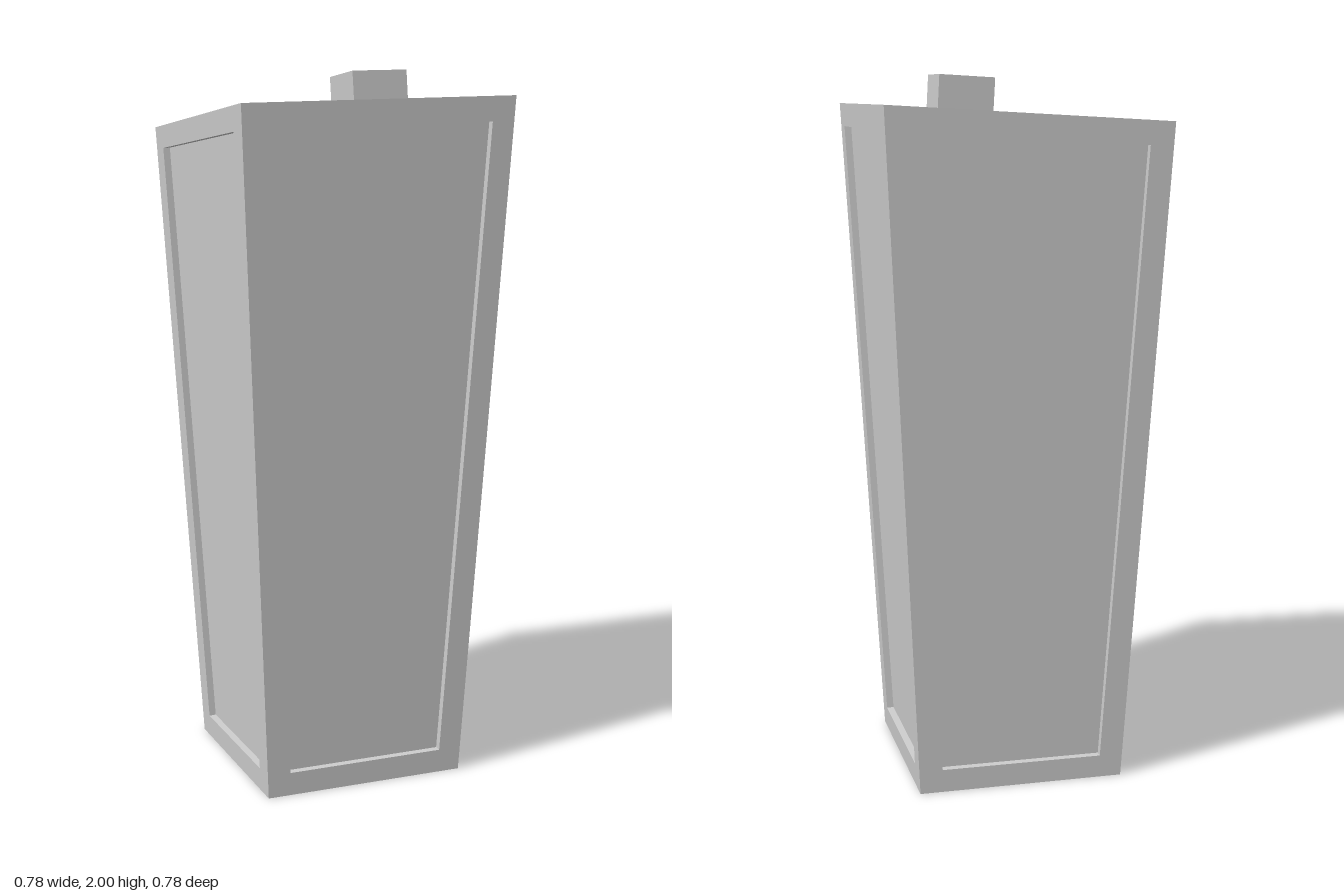
import * as THREE from 'three';

const BASE = 0.294, TOP = 0.392;   // half widths of the tapered body
const HEIGHT = 1.89, SLOPE = 0.045; // the lid rises towards +x and +z
const INSET = 0.066, DEPTH = 0.02;  // border width and recess of the side panels

const material = new THREE.MeshStandardMaterial({ color: 0xcccccc, flatShading: true });

// Mesh from quads, each given as four corners counter-clockwise from outside
function quadMesh(name, quads) {
  const points = quads.flatMap(([a, b, c, d]) => [a, b, c, a, c, d]);
  const geometry = new THREE.BufferGeometry().setFromPoints(points);
  geometry.computeVertexNormals();
  const mesh = new THREE.Mesh(geometry, material);
  mesh.name = name;
  return mesh;
}

// Four quads joining two rings of four corners
const ringQuads = (outer, inner) => outer.map((p, i) => {
  const j = (i + 1) % 4;
  return [p, outer[j], inner[j], inner[i]];
});

export function createModel() {
  const group = new THREE.Group();
  group.name = 'taperedPost';

  // Body corners: front left, front right, back right, back left as seen from the front
  const signs = [[-1, 1], [1, 1], [1, -1], [-1, -1]];
  const bottom = signs.map(([x, z]) => new THREE.Vector3(x * BASE, 0, z * BASE));
  const top = signs.map(([x, z]) =>
    new THREE.Vector3(x * TOP, HEIGHT + SLOPE * TOP * (x + z), z * TOP));

  // Four sides: a border, the walls of the recess and the sunken panel
  ['front', 'right', 'back', 'left'].forEach((name, k) => {
    const n = (k + 1) % 4;
    const outer = [bottom[k], bottom[n], top[n], top[k]];
    const at = (s, t) => bottom[k].clone().lerp(bottom[n], s)
      .lerp(top[k].clone().lerp(top[n], s), t);
    const t = INSET / HEIGHT, sb = INSET / (2 * BASE), st = INSET / (2 * TOP);
    const inner = [at(sb, t), at(1 - sb, t), at(1 - st, 1 - t), at(st, 1 - t)];
    const normal = inner[1].clone().sub(inner[0])
      .cross(inner[3].clone().sub(inner[0])).normalize();
    const sunken = inner.map(p => p.clone().addScaledVector(normal, -DEPTH));
    group.add(quadMesh(name + 'Border', ringQuads(outer, inner)));
    group.add(quadMesh(name + 'Panel', [...ringQuads(inner, sunken), sunken]));
  });

  // Sloping lid and flat base
  group.add(quadMesh('lid', [top]));
  group.add(quadMesh('base', [[...bottom].reverse()]));

  // Small off-centre block standing square on the sloping lid
  const up = new THREE.Vector3(-SLOPE, 1, -SLOPE).normalize();
  const knob = new THREE.Mesh(new THREE.BoxGeometry(0.162, 0.12, 0.162), material);
  knob.name = 'knob';
  knob.quaternion.setFromUnitVectors(new THREE.Vector3(0, 1, 0), up);
  knob.position.set(0.081, 1.993, 0.103).addScaledVector(up, -0.06);
  group.add(knob);

  return group;
}
